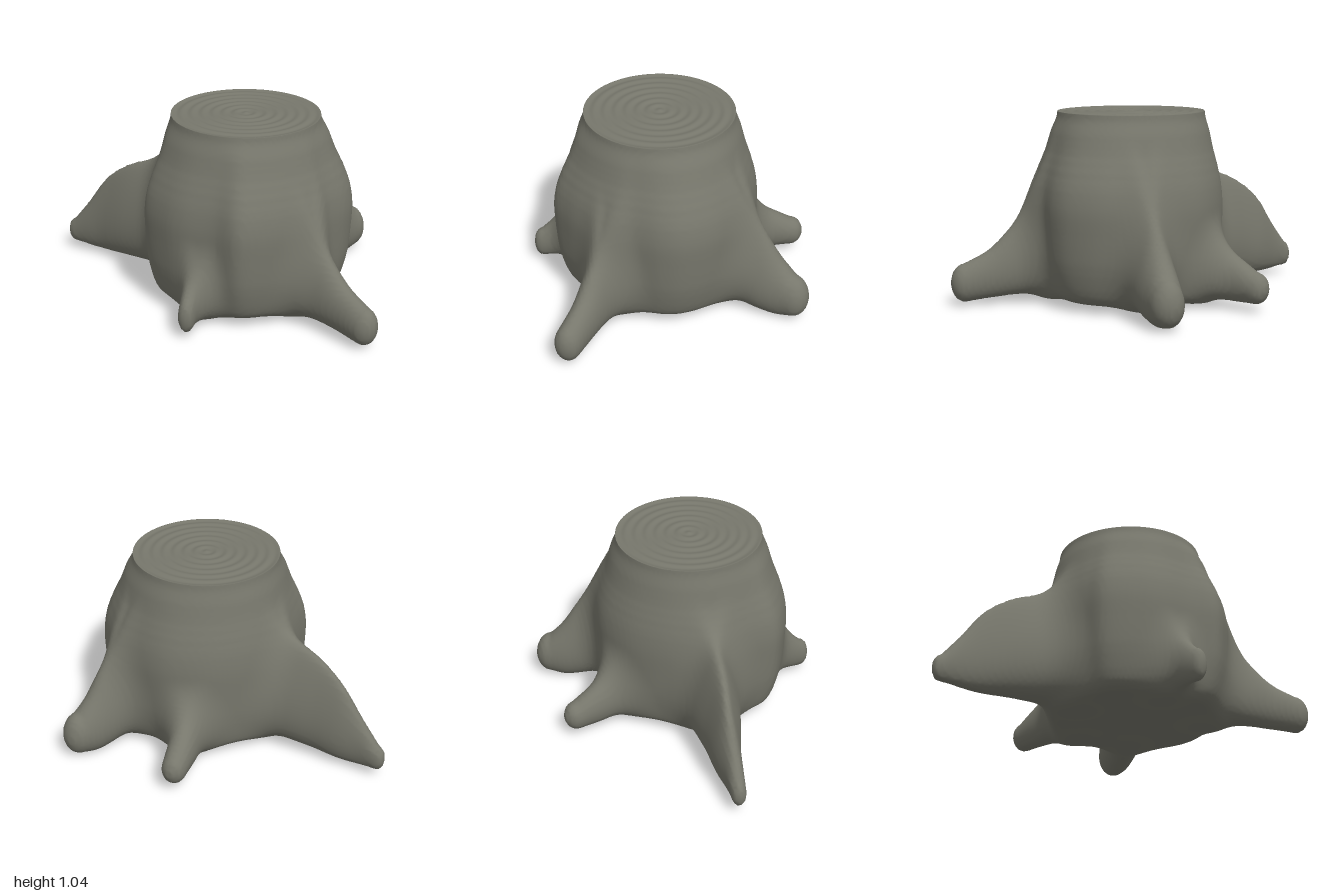
import * as THREE from 'three';

const material = new THREE.MeshStandardMaterial({ color: 0x77776c });
const CX = 0.155, CZ = 0.055, TOP = 1.05, TOP_R = 0.405, BASE = 0.045;
const STEP = 0.018, NX = 114, NY = 65, NZ = 90;
const X0 = -1.026, Y0 = -0.06, Z0 = -0.81;

// Trunk plan at its widest, counted from +x towards +z around the trunk axis
const outline = new THREE.CatmullRomCurve3([
  [0.74, -0.03], [0.73, 0.08], [0.67, 0.22], [0.64, 0.32], [0.52, 0.47], [0.4, 0.57],
  [0.27, 0.635], [0.13, 0.59], [-0.06, 0.56], [-0.17, 0.51], [-0.32, 0.38], [-0.34, 0.26],
  [-0.35, 0.12], [-0.34, -0.05], [-0.27, -0.22], [-0.08, -0.4], [0.13, -0.475],
  [0.3, -0.46], [0.47, -0.39], [0.6, -0.3], [0.69, -0.18],
].map(([x, z]) => new THREE.Vector3(x - CX, 0, z - CZ)), true).getPoints(160);

// Share of the full outline reached at each height
const swell = new THREE.CatmullRomCurve3([
  [-0.1, 0.25], [0.05, 0.5], [0.1, 0.66], [0.18, 0.81], [0.28, 0.92], [0.42, 0.98], [0.55, 1],
  [0.65, 0.92], [0.75, 0.72], [0.85, 0.46], [0.95, 0.24], [TOP, 0], [1.2, 0],
].map(([y, w]) => new THREE.Vector3(w, y, 0))).getPoints(240);
const swellAt = y => swell.find(p => p.y >= y).x;

// Roots as stations [x, z, halfWidth, top, bottom] from the trunk outwards
const roots = [
  // right
  [[-0.2, 0.01, 0.2, 0.78, 0.06], [-0.4, -0.045, 0.14, 0.69, 0.05], [-0.58, -0.085, 0.1, 0.615, 0.045],
    [-0.73, -0.125, 0.072, 0.505, 0.04], [-0.85, -0.145, 0.052, 0.34, 0.045], [-0.96, -0.166, 0.04, 0.2, 0.055]],
  // back
  [[0.08, -0.3, 0.15, 0.5, 0.06], [0.045, -0.46, 0.11, 0.4, 0.055],
    [0.015, -0.58, 0.082, 0.3, 0.05], [0, -0.71, 0.068, 0.22, 0.05]],
  // back left
  [[0.36, -0.2, 0.16, 0.76, 0.06], [0.46, -0.34, 0.12, 0.7, 0.05], [0.53, -0.46, 0.105, 0.54, 0.02],
    [0.58, -0.56, 0.098, 0.37, 0.005], [0.625, -0.635, 0.088, 0.27, 0.02]],
  // front left
  [[0.47, 0.28, 0.15, 0.68, 0.06], [0.6, 0.37, 0.11, 0.59, 0.05], [0.7, 0.43, 0.088, 0.44, 0.05],
    [0.81, 0.495, 0.077, 0.31, 0.04], [0.93, 0.57, 0.073, 0.235, 0.025]],
  // front
  [[0.05, 0.42, 0.14, 0.5, 0.06], [0.035, 0.57, 0.08, 0.37, 0.05],
    [0.02, 0.66, 0.055, 0.28, 0.045], [0.02, 0.725, 0.045, 0.22, 0.04]],
].map(stations => {
  const path = new THREE.CatmullRomCurve3(stations.map(s => new THREE.Vector3(s[0], s[3], s[1])), false, 'catmullrom');
  const size = new THREE.CatmullRomCurve3(stations.map(s => new THREE.Vector3(s[2], s[4], 0)), false, 'catmullrom');
  return Array.from({ length: 25 }, (_, i) => {
    const p = path.getPoint(i / 24), s = size.getPoint(i / 24);
    return [p.x, p.z, s.x, p.y, s.y];
  });
});

// Trunk radius in the direction of (x, z), relative to the trunk axis
function outlineRadius(x, z) {
  const len = Math.hypot(x, z) || 1, dx = len === 1 ? 1 : x / len, dz = z / len;
  for (let i = 0; i < outline.length - 1; i++) {
    const p = outline[i], q = outline[i + 1];
    if (p.x * dz - p.z * dx >= 0 && dx * q.z - dz * q.x >= 0 && p.x * dx + p.z * dz > 0) {
      const ex = q.x - p.x, ez = q.z - p.z;
      return (p.x * ez - p.z * ex) / (dx * ez - dz * ex);
    }
  }
  return TOP_R;
}

// Closest root section to a plan position: [distance, halfWidth, top, bottom]
function nearestSection(root, x, z) {
  let best = [Infinity];
  for (let i = 0; i < root.length - 1; i++) {
    const a = root[i], b = root[i + 1], ex = b[0] - a[0], ez = b[1] - a[1];
    const t = THREE.MathUtils.clamp(((x - a[0]) * ex + (z - a[1]) * ez) / (ex * ex + ez * ez), 0, 1);
    const d = Math.hypot(x - a[0] - ex * t, z - a[1] - ez * t);
    if (d < best[0]) best = [d, ...[2, 3, 4].map(k => a[k] + (b[k] - a[k]) * t)];
  }
  return best;
}

// Distance to a pear-shaped root section
function sectionDistance([d, width, top, low], y) {
  const half = (top - low) / 2, dy = y - (top + low) / 2;
  const pear = 0.4 * THREE.MathUtils.clamp((half - 0.1) / 0.15, 0, 1);
  const w = width * (1 - pear * THREE.MathUtils.clamp(dy / half, -1, 1)), u = d + 1e-4;
  const k = Math.hypot(u / w, dy / half);
  return k * (k - 1) / Math.hypot(u / (w * w), dy / (half * half));
}

function smoothMin(a, b, k) {
  const h = Math.max(k - Math.abs(a - b), 0) / k;
  return Math.min(a, b) - h * h * k / 4;
}

// Trunk and roots blended into one field, sampled column by column
function sampleField() {
  const field = new Float32Array(NX * NY * NZ);
  const shares = Array.from({ length: NY }, (_, j) => swellAt(Y0 + j * STEP));
  for (let k = 0; k < NZ; k++) {
    for (let i = 0; i < NX; i++) {
      const x = X0 + i * STEP, z = Z0 + k * STEP;
      const rho = Math.hypot(x - CX, z - CZ), full = outlineRadius(x - CX, z - CZ);
      const sections = roots.map(r => nearestSection(r, x, z));
      for (let j = 0; j < NY; j++) {
        const y = Y0 + j * STEP;
        const side = (rho - THREE.MathUtils.lerp(TOP_R, full, shares[j])) * 0.93;
        let d = -smoothMin(-side, y - BASE, 0.05);
        for (const s of sections) d = smoothMin(d, sectionDistance(s, y), 0.13);
        field[i + NX * (j + NY * k)] = d;
      }
    }
  }
  return field;
}

// Skin the field: one vertex per crossed cell, one quad per crossed edge
function makeStump() {
  const field = sampleField(), stride = [1, NX, NX * NY], dims = [NX, NY, NZ];
  const pos = [], index = [], cell = new Int32Array(field.length).fill(-1);
  for (let k = 0; k < NZ - 1; k++) for (let j = 0; j < NY - 1; j++) for (let i = 0; i < NX - 1; i++) {
    const at = i + NX * (j + NY * k), sum = [0, 0, 0];
    let count = 0;
    for (let axis = 0; axis < 3; axis++) {
      const v = (axis + 1) % 3, w = (axis + 2) % 3;
      for (let c = 0; c < 4; c++) {
        const ov = c & 1, ow = c >> 1, p = at + ov * stride[v] + ow * stride[w];
        const a = field[p], b = field[p + stride[axis]];
        if ((a < 0) === (b < 0)) continue;
        sum[axis] += a / (a - b);
        sum[v] += ov;
        sum[w] += ow;
        count++;
      }
    }
    if (!count) continue;
    cell[at] = pos.length / 3;
    const [x, y, z] = sum.map(s => s / count * STEP);
    pos.push(X0 + i * STEP + x, Math.min(Y0 + j * STEP + y, TOP), Z0 + k * STEP + z);
  }
  for (let at = 0; at < field.length; at++) {
    const coord = [at % NX, Math.floor(at / NX) % NY, Math.floor(at / (NX * NY))];
    for (let axis = 0; axis < 3; axis++) {
      const v = (axis + 1) % 3, w = (axis + 2) % 3;
      if (coord[axis] >= dims[axis] - 1 || !coord[v] || !coord[w]) continue;
      const inside = field[at] < 0;
      if (inside === (field[at + stride[axis]] < 0)) continue;
      const q = [at - stride[v] - stride[w], at - stride[w], at, at - stride[v]].map(c => cell[c]);
      if (q.includes(-1)) continue;
      if (!inside) q.reverse();
      index.push(q[0], q[1], q[2], q[0], q[2], q[3]);
    }
  }
  const g = new THREE.BufferGeometry();
  g.setAttribute('position', new THREE.Float32BufferAttribute(pos, 3));
  g.setIndex(index);
  g.computeVertexNormals();
  const mesh = new THREE.Mesh(g, material);
  mesh.name = 'trunkAndRoots';
  return mesh;
}

// Cut face with shallow growth rings
function makeCutFace() {
  const pts = [];
  for (let i = 0; i <= 90; i++) {
    const r = TOP_R * (1 - i / 90);
    pts.push(new THREE.Vector2(r, TOP - 0.0025 * (1 - Math.cos((TOP_R - r) * 2 * Math.PI / 0.0579))));
  }
  const mesh = new THREE.Mesh(new THREE.LatheGeometry(pts, 72), material);
  mesh.position.set(CX, 0, CZ);
  mesh.name = 'cutFace';
  return mesh;
}

export function createModel() {
  const group = new THREE.Group();
  group.name = 'treeStump';
  group.add(makeStump(), makeCutFace());
  return group;
}
